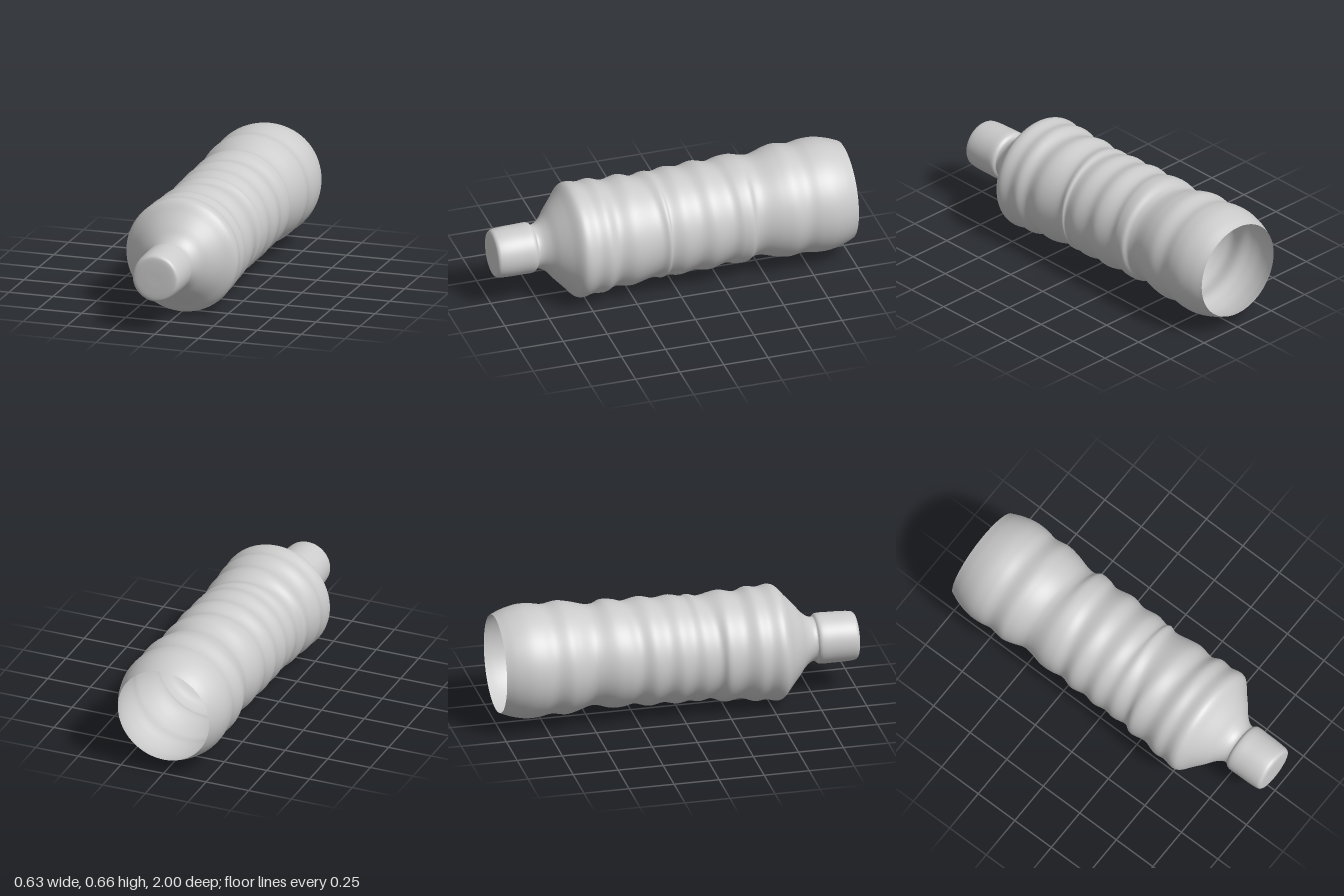
import * as THREE from 'three';
import { mergeVertices } from 'three/addons/utils/BufferGeometryUtils.js';

const material = new THREE.MeshStandardMaterial({ color: 0xcccccc, side: THREE.DoubleSide });

// Height of the slightly sloping centre line at a given z
const axisY = z => z > 0.53 ? 0.309 + (1 - z) * 0.017
  : z > -0.5 ? 0.317 + (0.53 - z) * 0.034 : 0.352;

// Revolves rows of [z, radius, sideways tilt of the ring] around the z axis
function ringedShell(name, rows, steps) {
  const curve = new THREE.CatmullRomCurve3(
    rows.map(([z, r, tilt = 0]) => new THREE.Vector3(r, z, tilt)));
  const profile = curve.getPoints(steps);
  let geometry = new THREE.LatheGeometry(profile, 72);
  geometry.rotateX(Math.PI / 2);
  const p = geometry.attributes.position;
  for (let i = 0; i < p.count; i++) {
    const { x: r, y: z, z: tilt } = profile[i % profile.length];
    const side = r > 1e-4 ? p.getX(i) / r : 0;
    p.setY(i, p.getY(i) + axisY(z));
    p.setZ(i, z + tilt * side);
  }
  geometry.deleteAttribute('uv');
  geometry.deleteAttribute('normal');
  geometry = mergeVertices(geometry, 1e-5);
  geometry.computeVertexNormals();
  const mesh = new THREE.Mesh(geometry, material);
  mesh.name = name;
  return mesh;
}

export function createModel() {
  const model = new THREE.Group();
  model.name = 'ribbedBottle';

  // Open-backed body: ridges and grooves, then the shoulder
  model.add(ringedShell('ribbedBody', [
    [-1, 0.268], [-0.94, 0.292], [-0.86, 0.31], [-0.79, 0.309], [-0.72, 0.298],
    [-0.64, 0.309], [-0.58, 0.299, 0.01], [-0.49, 0.274, 0.02], [-0.45, 0.276, 0.02],
    [-0.39, 0.295, -0.01], [-0.33, 0.293, -0.02], [-0.27, 0.28, -0.025],
    [-0.18, 0.298, -0.01], [-0.1, 0.284, -0.01], [-0.02, 0.296, 0],
    [0.05, 0.284, 0], [0.09, 0.292, -0.02], [0.15, 0.28, -0.035],
    [0.25, 0.303, 0.01], [0.34, 0.29, 0.01], [0.41, 0.312], [0.47, 0.306],
    [0.53, 0.317], [0.56, 0.309], [0.61, 0.255], [0.66, 0.2],
    [0.7, 0.152], [0.735, 0.126], [0.76, 0.12], [0.78, 0.128]
  ], 200));

  // Closed cap with a softly rounded front rim
  model.add(ringedShell('cap', [
    [0.765, 0.122], [0.775, 0.133], [0.79, 0.138], [0.85, 0.138], [0.92, 0.137],
    [0.965, 0.134], [0.984, 0.13], [0.993, 0.122], [0.997, 0.11],
    [1, 0.06], [1, 0]
  ], 60));

  return model;
}
